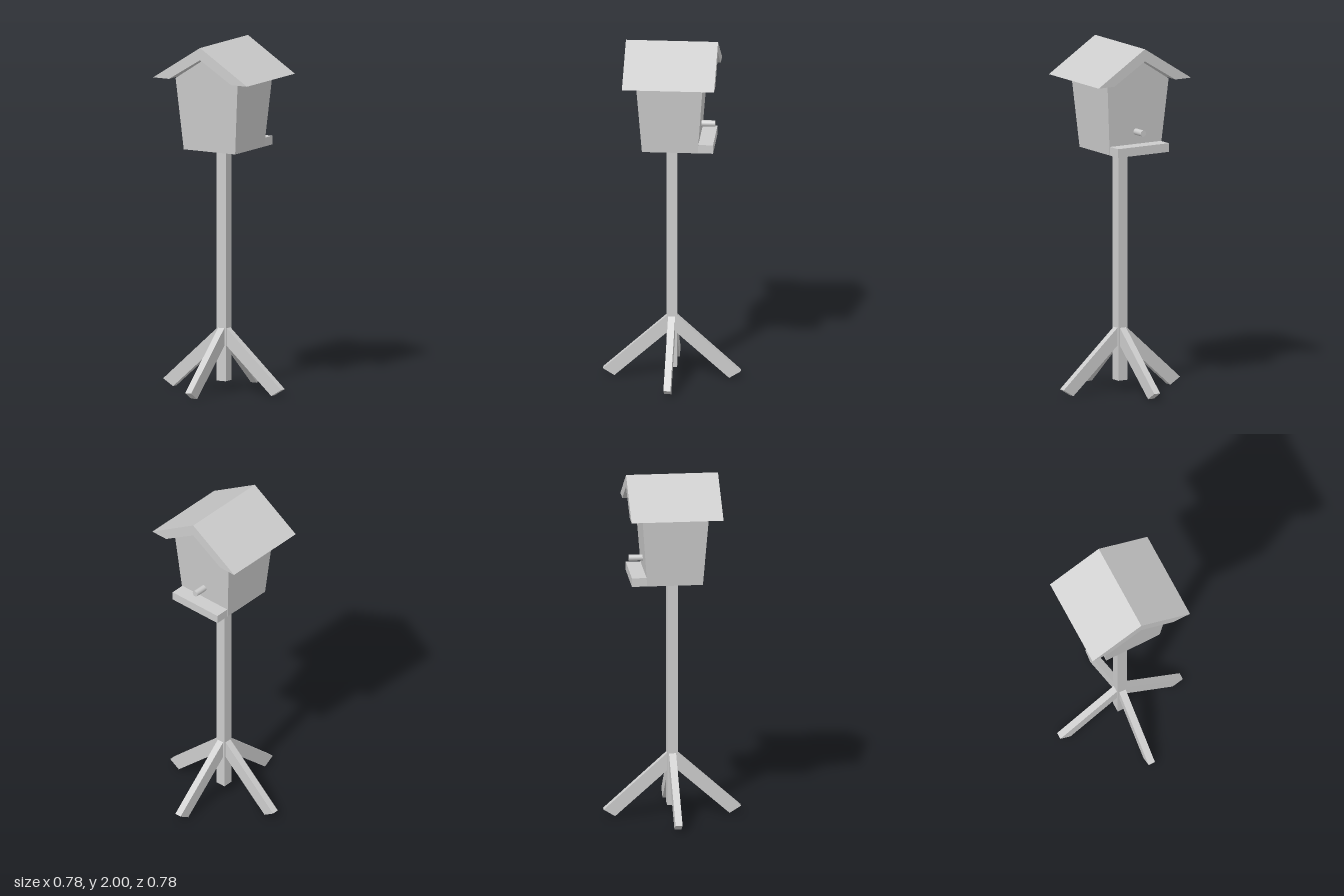
import * as THREE from 'three';

export function createModel() {
  const group = new THREE.Group();
  const grey = new THREE.MeshStandardMaterial({ color: 0xcccccc });
  grey.name = 'plain grey';

  const add = (name, geometry, parent = group) => {
    const mesh = new THREE.Mesh(geometry, grey);
    mesh.name = name;
    parent.add(mesh);
    return mesh;
  };

  // Extrudes an x-y outline, centred on z = 0
  const slab = (points, depth) => {
    const shape = new THREE.Shape(points.map(([x, y]) => new THREE.Vector2(x, y)));
    return new THREE.ExtrudeGeometry(shape, { depth, bevelEnabled: false }).translate(0, 0, -depth / 2);
  };

  // House: gabled box whose front and back lean outwards
  const house = slab([[-0.17, 1.39], [0.17, 1.39], [0.205, 1.8], [0, 1.93], [-0.205, 1.8]], 1);
  const p = house.attributes.position;
  for (let i = 0; i < p.count; i++) {
    p.setZ(i, Math.sign(p.getZ(i)) * (0.158 + 0.076 * (p.getY(i) - 1.39)));
  }
  house.computeVertexNormals();
  add('house', house);

  // Roof: chevron overhanging both gables
  add('roof', slab([[-0.31, 1.805], [-0.205, 1.805], [0, 1.93], [0.205, 1.805], [0.31, 1.805], [0, 2]], 0.522));

  // Landing ledge and perch on the back
  add('ledge', new THREE.BoxGeometry(0.34, 0.05, 0.095)).position.set(0, 1.415, -0.1975);
  const perch = add('perch', new THREE.CylinderGeometry(0.018, 0.018, 0.1, 16));
  perch.rotation.x = Math.PI / 2;
  perch.position.set(0, 1.512, -0.195);

  // Post
  add('post', new THREE.BoxGeometry(0.06, 1.33, 0.06)).position.y = 0.725;

  // Four splayed feet
  const legs = new THREE.Group();
  legs.name = 'legs';
  group.add(legs);
  const legShape = slab([[0.02, 0.365], [0.02, 0.27], [0.325, 0], [0.39, 0.04], [0.028, 0.365]], 0.04);
  for (let i = 0; i < 4; i++) add('leg', legShape, legs).rotation.y = i * Math.PI / 2;

  return group;
}
